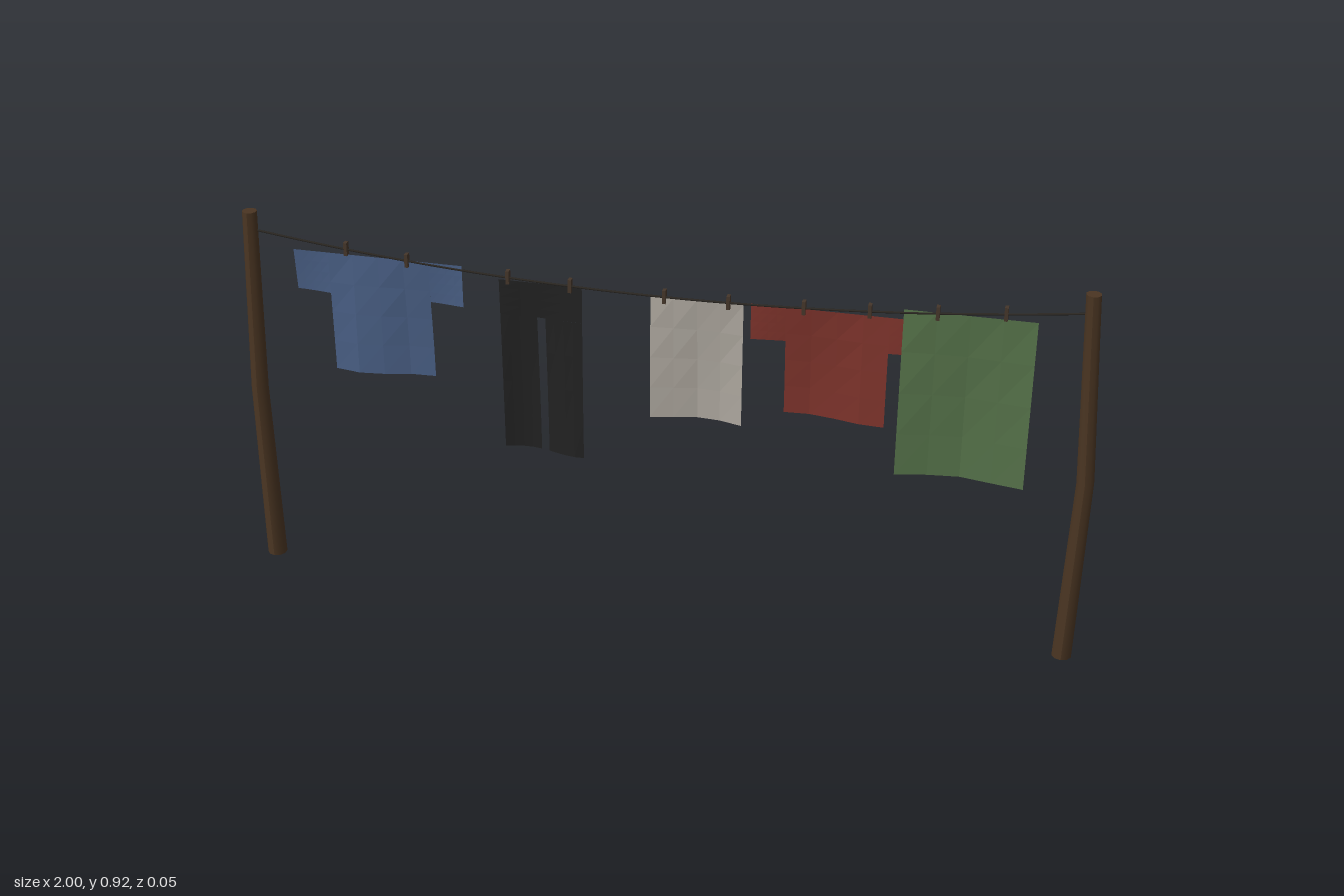
import * as THREE from 'three';

const paint = (name, color, extra = {}) => {
  const m = new THREE.MeshStandardMaterial({ color, ...extra });
  m.name = name;
  return m;
};

export function createModel() {
  const model = new THREE.Group();
  model.name = 'clothesline';
  const cloth = { side: THREE.DoubleSide, flatShading: true };
  const mats = {
    wood: paint('darkWood', 0x4a3522),
    rope: paint('rope', 0x2b2722),
    peg: paint('pegWood', 0x45362a),
    blue: paint('blueCloth', 0x4a6086, cloth),
    black: paint('blackCloth', 0x222222, cloth),
    grey: paint('paleCloth', 0xb0aaa1, cloth),
    red: paint('redCloth', 0x7f342c, cloth),
    green: paint('greenCloth', 0x56734a, cloth),
  };
  const add = (parent, name, geo, mat) => {
    const mesh = new THREE.Mesh(geo, mat);
    mesh.name = name;
    parent.add(mesh);
    return mesh;
  };

  // Posts: tapered trunks with one bend halfway up
  const post = (name, xs) => {
    const zs = [0.003, -0.004, 0.003];
    const geo = new THREE.CylinderGeometry(0.017, 0.0235, 0.92, 10, 2);
    geo.translate(0, 0.46, 0);
    const p = geo.attributes.position;
    for (let i = 0; i < p.count; i++) {
      const level = Math.round(p.getY(i) / 0.46);
      p.setX(i, p.getX(i) + xs[level]);
      p.setZ(i, p.getZ(i) + zs[level]);
    }
    geo.computeVertexNormals();
    add(model, name, geo, mats.wood);
  };
  post('rightPost', [-0.972, -0.979, -0.959]);
  post('leftPost', [0.968, 0.979, 0.954]);

  // Sagging rope between the posts
  const ropeY = x => 0.808 + 0.064 * (x / 0.95) ** 2;
  const points = [];
  for (let i = 0; i <= 16; i++) {
    const x = -0.955 + (1.91 * i) / 16;
    points.push(new THREE.Vector3(x, ropeY(x), 0));
  }
  add(model, 'rope', new THREE.TubeGeometry(new THREE.CatmullRomCurve3(points), 32, 0.0025, 6), mats.rope);

  // Garments: rectangular panels that billow more towards the hem
  const garment = ({ name, mat, top, bottom, trough, period, panels }) => {
    const group = new THREE.Group();
    group.name = name;
    model.add(group);
    for (const [part, x0, x1, y0, y1] of panels) {
      const geo = new THREE.PlaneGeometry(x1 - x0, y1 - y0, 4, 4);
      geo.translate((x0 + x1) / 2, (y0 + y1) / 2, 0);
      const p = geo.attributes.position;
      for (let i = 0; i < p.count; i++) {
        const drop = (top - p.getY(i)) / (top - bottom);
        const wave = -0.005 - 0.013 * Math.cos((2 * Math.PI * (p.getX(i) - trough)) / period);
        p.setZ(i, wave * Math.sin((drop * Math.PI) / 2));
      }
      geo.computeVertexNormals();
      add(group, part, geo, mat);
    }
  };
  garment({
    name: 'blueShirt', mat: mats.blue, top: 0.833, bottom: 0.534, trough: -0.555, period: 0.31,
    panels: [
      ['shirtBody', -0.776, -0.535, 0.534, 0.833],
      ['rightSleeve', -0.86, -0.776, 0.73, 0.833],
      ['leftSleeve', -0.535, -0.453, 0.73, 0.833],
    ],
  });
  garment({
    name: 'trousers', mat: mats.black, top: 0.81, bottom: 0.374, trough: -0.31, period: 0.25,
    panels: [
      ['waist', -0.366, -0.171, 0.722, 0.81],
      ['rightLeg', -0.366, -0.279, 0.374, 0.722],
      ['leftLeg', -0.259, -0.171, 0.374, 0.722],
    ],
  });
  garment({
    name: 'towel', mat: mats.grey, top: 0.808, bottom: 0.504, trough: 0.11, period: 0.28,
    panels: [['towelSheet', -0.012, 0.2, 0.504, 0.808]],
  });
  garment({
    name: 'redShirt', mat: mats.red, top: 0.814, bottom: 0.545, trough: 0.34, period: 0.34,
    panels: [
      ['shirtBody', 0.295, 0.526, 0.545, 0.814],
      ['rightSleeve', 0.217, 0.295, 0.728, 0.814],
      ['leftSleeve', 0.526, 0.607, 0.728, 0.814],
    ],
  });
  garment({
    name: 'blanket', mat: mats.green, top: 0.838, bottom: 0.428, trough: 0.69, period: 0.32,
    panels: [['blanketSheet', 0.555, 0.845, 0.428, 0.838]],
  });

  // Pegs: two on each garment
  const pegGeo = new THREE.BoxGeometry(0.008, 0.032, 0.014);
  for (const middle of [-0.657, -0.271, 0.093, 0.408, 0.702]) {
    for (const side of [-1, 1]) {
      const x = middle + side * 0.073;
      add(model, 'peg', pegGeo, mats.peg).position.set(x, ropeY(x) + 0.002, 0);
    }
  }
  return model;
}
